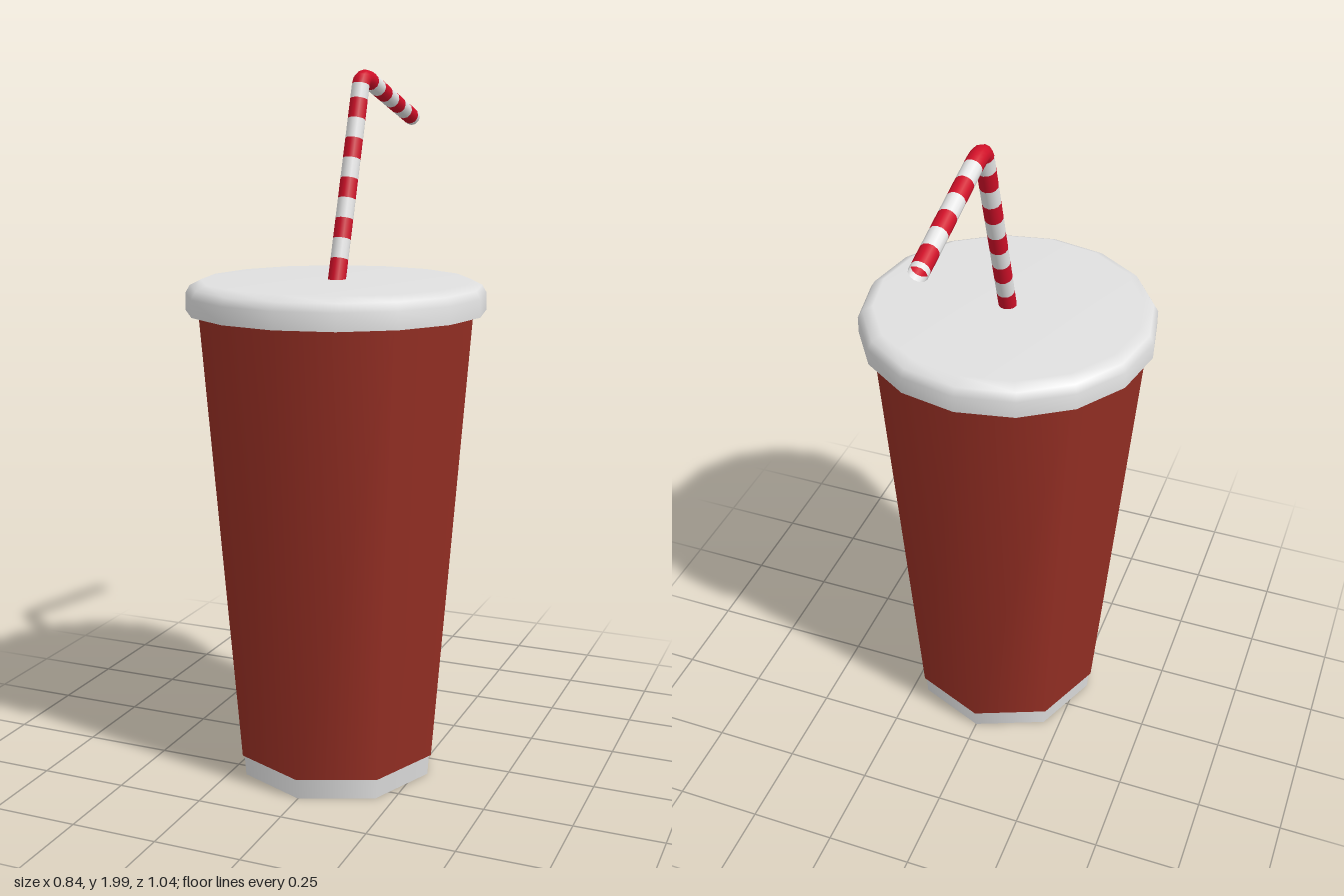
import * as THREE from 'three';

const paint = (name, color, side = THREE.FrontSide) => {
  const m = new THREE.MeshStandardMaterial({ color, side });
  m.name = name;
  return m;
};

export function createModel() {
  const cupRed = paint('cup red', 0x962f24);
  const white = paint('lid white', 0xe0e0e0);
  const strawRed = paint('straw red', 0xd01028, THREE.DoubleSide);
  const strawWhite = paint('straw white', 0xe6e6e6, THREE.DoubleSide);

  const model = new THREE.Group();
  model.name = 'drinkCup';
  const add = (parent, name, geometry, material) => {
    const mesh = new THREE.Mesh(geometry, material);
    mesh.name = name;
    parent.add(mesh);
    return mesh;
  };

  // Cup stands a little in front of the centre, as the straw reaches back
  const cup = new THREE.Group();
  cup.name = 'cup';
  cup.position.z = 0.1;
  model.add(cup);

  // Eight-sided tapered body and foot
  const body = new THREE.CylinderGeometry(0.399, 0.294, 1.3, 8);
  add(cup, 'body', body.translate(0, 0.71, 0), cupRed);
  const foot = new THREE.CylinderGeometry(0.289, 0.284, 0.07, 8);
  add(cup, 'foot', foot.translate(0, 0.035, 0), white);

  // Sixteen-sided lid with a rounded shoulder
  const lidProfile = [[0.418, 1.34], [0.418, 1.388], [0.405, 1.41], [0.375, 1.425], [0, 1.425]]
    .map(([r, y]) => new THREE.Vector2(r, y));
  add(cup, 'lid', new THREE.LatheGeometry(lidProfile, 16), white);
  const under = new THREE.CircleGeometry(0.418, 16).rotateX(Math.PI / 2);
  add(cup, 'lidUnderside', under.translate(0, 1.34, 0), white);

  // Striped, bent straw made of short open tubes
  const straw = new THREE.Group();
  straw.name = 'straw';
  model.add(straw);
  const point = (z, y) => new THREE.Vector3(0, y, z);
  const stripe = (curve, red, steps = 1) => add(straw, red ? 'redStripe' : 'whiteStripe',
    new THREE.TubeGeometry(curve, steps, 0.025, 12), red ? strawRed : strawWhite);
  const run = (points, firstRed) => {
    for (let i = 0; i < points.length - 1; i++) {
      stripe(new THREE.LineCurve3(points[i], points[i + 1]), (i % 2 === 0) === firstRed);
    }
  };

  // Lower arm, leaning back
  const heights = [1.4];
  for (let i = 1; i <= 9; i++) heights.push(1.424 + i * 0.0542);
  heights.push(1.952);
  const lower = heights.map((y) => point(0.095 - (y - 1.42) / 3, y));
  run(lower, true);

  // Upper arm, sloping down to the open end
  const upper = [];
  for (let i = 0; i <= 6; i++) upper.push(point(-0.161 - i * 0.0557, 1.962 - i * 0.0159));
  upper.push(point(-0.512, 1.862));
  run(upper, false);

  // Bend
  stripe(new THREE.QuadraticBezierCurve3(lower[lower.length - 1], point(-0.092, 1.982), upper[0]), true, 6);

  return model;
}
